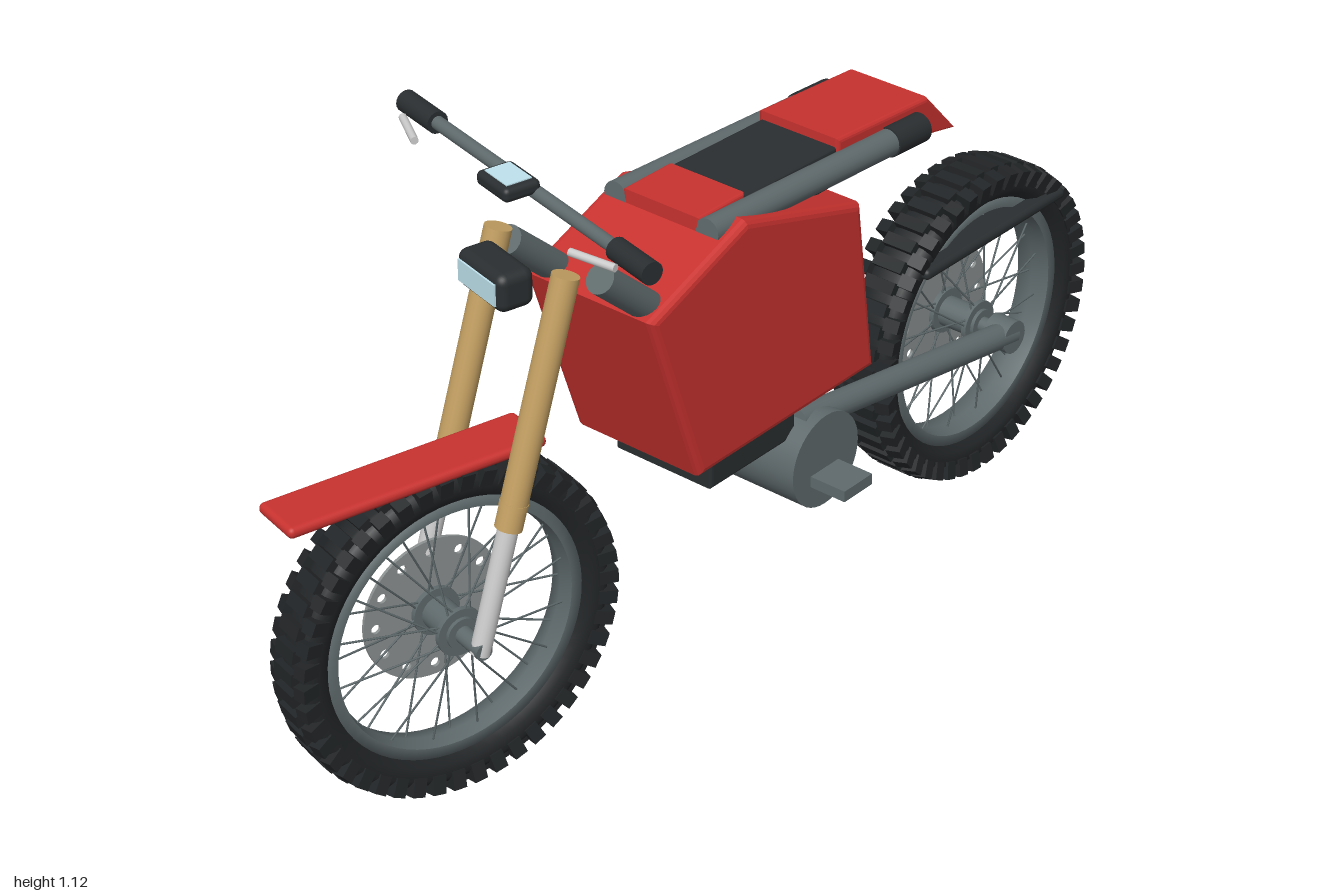
import * as THREE from 'three';
import { mergeGeometries } from 'three/addons/utils/BufferGeometryUtils.js';
import { RoundedBoxGeometry } from 'three/addons/geometries/RoundedBoxGeometry.js';

const mat = (color) => new THREE.MeshStandardMaterial({ color });
const RED = mat(0xc8322f), GOLD = mat(0xc4a062), BLACK = mat(0x2a2e30), TYRE = mat(0x222527);
const GREY = mat(0x5f6a6c), SILVER = mat(0xcccccc), DISC = mat(0x8a8f8f), GLASS = mat(0xbfe3ee);
const V = (x, y, z) => new THREE.Vector3(x, y, z);

function add(parent, name, geometry, material, x = 0, y = 0, z = 0) {
  const mesh = new THREE.Mesh(geometry, material);
  mesh.name = name;
  mesh.position.set(x, y, z);
  parent.add(mesh);
  return mesh;
}

// Cylinder geometry between two points
function rod(a, b, r, sides = 20, r2 = r) {
  const d = b.clone().sub(a);
  const q = new THREE.Quaternion().setFromUnitVectors(V(0, 1, 0), d.clone().normalize());
  return new THREE.CylinderGeometry(r2, r, d.length(), sides)
    .applyQuaternion(q).translate(...a.clone().add(b).multiplyScalar(0.5).toArray());
}

// Side profile of [z, y] points extruded to a total width along x
function slab(points, width, bevel) {
  const shape = new THREE.Shape(points.map((p) => new THREE.Vector2(...p)));
  const depth = width - 2 * bevel;
  return new THREE.ExtrudeGeometry(shape, {
    depth, bevelThickness: bevel, bevelSize: bevel, bevelOffset: -bevel, bevelSegments: 3,
  }).translate(0, 0, -depth / 2).rotateY(-Math.PI / 2);
}

// Ring around the x axis from a closed [radius, x] section
function ring(section, segments = 64) {
  const pts = section.map((p) => new THREE.Vector2(...p));
  return new THREE.LatheGeometry([...pts, pts[0]], segments).rotateZ(Math.PI / 2);
}

function makeWheel(name, half) {
  const wheel = new THREE.Group();
  wheel.name = name;
  const R = 0.318;

  // Tyre carcass and its staggered tread blocks
  add(wheel, 'tyre', ring([
    [0.245, -half * 0.5], [0.262, -half * 0.82], [0.285, -half * 0.9], [0.3, -half * 0.7], [0.306, -half * 0.3],
    [0.306, half * 0.3], [0.3, half * 0.7], [0.285, half * 0.9], [0.262, half * 0.82], [0.245, half * 0.5],
  ]), TYRE);
  const blocks = [];
  const rows = 46;
  for (let i = 0; i < rows; i++) {
    const a = (i / rows) * Math.PI * 2, step = Math.PI / rows;
    blocks.push(new THREE.BoxGeometry(half * 1.1, 0.026, 0.024).translate(0, R - 0.013, 0).rotateX(a));
    for (const s of [-1, 1]) {
      blocks.push(new THREE.BoxGeometry(half * 0.5, 0.034, 0.025).rotateZ(-s * 0.25)
        .translate(s * half * 0.78, R - 0.022, 0).rotateX(a + step));
    }
  }
  add(wheel, 'treadBlocks', mergeGeometries(blocks), TYRE);

  // Rim, hub and axle
  const w = half * 0.6;
  add(wheel, 'rim', ring([[0.23, -w], [0.252, -w], [0.252, w], [0.23, w], [0.225, 0]]), GREY);
  add(wheel, 'hub', rod(V(-0.05, 0, 0), V(0.05, 0, 0), 0.03), GREY);
  for (const s of [-1, 1]) {
    add(wheel, 'hubFlange', rod(V(s * 0.033, 0, 0), V(s * 0.043, 0, 0), 0.045, 28), GREY);
  }
  add(wheel, 'axle', rod(V(-0.115, 0, 0), V(0.115, 0, 0), 0.016), GREY);

  // Crossed spokes
  const spokes = [];
  const count = 32;
  for (let i = 0; i < count; i++) {
    const a = (i / count) * Math.PI * 2, s = i % 2 ? 1 : -1;
    const b = a + (i % 4 < 2 ? 0.35 : -0.35);
    spokes.push(rod(V(s * 0.038, 0.04 * Math.cos(b), 0.04 * Math.sin(b)),
      V(s * 0.008, 0.232 * Math.cos(a), 0.232 * Math.sin(a)), 0.002, 5));
  }
  add(wheel, 'spokes', mergeGeometries(spokes), GREY);

  // Drilled brake disc on one side
  const disc = new THREE.Shape().absarc(0, 0, 0.135, 0, Math.PI * 2);
  for (let i = 0; i < 12; i++) {
    const a = (i / 12) * Math.PI * 2;
    disc.holes.push(new THREE.Path().absarc(0.112 * Math.cos(a), 0.112 * Math.sin(a), 0.009, 0, Math.PI * 2, true));
  }
  add(wheel, 'brakeDisc', new THREE.ExtrudeGeometry(disc, { depth: 0.006, bevelEnabled: false, curveSegments: 32 })
    .translate(0, 0, -0.003).rotateY(Math.PI / 2), DISC, -0.05);
  return wheel;
}

// Fork, front wheel, front fender and handlebar, turned together
function makeSteering() {
  const g = new THREE.Group();
  g.name = 'steering';
  g.position.set(0, 0, 0.51);
  g.rotation.y = -0.25;

  const wheel = makeWheel('frontWheel', 0.05);
  wheel.position.set(0, 0.325, 0.178);
  g.add(wheel);

  for (const s of [-1, 1]) {
    const top = V(s * 0.1, 0.975, -0.01), bottom = V(s * 0.1, 0.315, 0.178);
    const at = (t) => top.clone().lerp(bottom, t);
    add(g, 'forkUpper', rod(top, at(0.66), 0.024), GOLD);
    add(g, 'forkCollar', rod(at(0.59), at(0.605), 0.025), GOLD);
    add(g, 'forkLower', rod(at(0.64), bottom, 0.018), SILVER);
    add(g, 'grip', rod(V(s * 0.262, 1.1, 0), V(s * 0.36, 1.1, 0), 0.02), BLACK);
    add(g, 'lever', rod(V(s * 0.313, 1.1, 0.036), V(s * 0.229, 1.1, 0.065), 0.007, 12), SILVER);
  }
  add(g, 'handlebar', rod(V(-0.35, 1.1, 0), V(0.35, 1.1, 0), 0.012), GREY);

  // Dash on the bar and lamp between the fork legs
  add(g, 'dash', new RoundedBoxGeometry(0.09, 0.026, 0.07, 3, 0.01), BLACK, 0, 1.113, 0.03);
  add(g, 'dashScreen', new THREE.BoxGeometry(0.065, 0.004, 0.048), GLASS, 0, 1.126, 0.03);
  add(g, 'headlamp', new RoundedBoxGeometry(0.135, 0.07, 0.07, 4, 0.018), BLACK, 0, 0.95, 0.06);
  add(g, 'headlampLens', new THREE.BoxGeometry(0.108, 0.04, 0.006), GLASS, 0, 0.95, 0.095);

  add(g, 'frontFender', new RoundedBoxGeometry(0.105, 0.021, 0.49, 3, 0.01), RED, 0, 0.641, 0.247);
  return g;
}

export function createModel() {
  const model = new THREE.Group();
  model.name = 'dirtBike';
  model.add(makeSteering());

  const rear = makeWheel('rearWheel', 0.06);
  rear.position.set(0, 0.325, -0.685);
  model.add(rear);
  add(model, 'rearMudguard', new RoundedBoxGeometry(0.135, 0.022, 0.43, 3, 0.01), BLACK, 0, 0.52, -0.7);

  // Main body shell
  add(model, 'body', slab([[0.372, 0.83], [0.126, 0.922], [-0.183, 0.828], [-0.228, 0.48], [0.25, 0.475]], 0.285, 0.014),
    RED, 0.004);

  // Tank cover, seat and tail
  add(model, 'tankCover', slab([[0.18, 0.86], [0.18, 0.928], [0.06, 0.928], [0.06, 0.86]], 0.17, 0.006), RED);
  add(model, 'seat', slab([[0.06, 0.84], [0.06, 0.922], [-0.19, 0.915], [-0.19, 0.84]], 0.17, 0.006), BLACK);
  add(model, 'tail', slab([[-0.185, 0.865], [-0.185, 0.932], [-0.44, 0.915], [-0.525, 0.822], [-0.4, 0.846]], 0.18, 0.008), RED);

  // Mirrored frame tubes
  for (const s of [-1, 1]) {
    add(model, 'neckTube', rod(V(s * 0.102, 0.935, 0.447), V(s * 0.102, 0.78, 0.27), 0.027), GREY);
    add(model, 'subframeTube', rod(V(s * 0.102, 0.908, 0.18), V(s * 0.102, 0.878, -0.37), 0.025), GREY);
    add(model, 'subframeEnd', rod(V(s * 0.102, 0.881, -0.31), V(s * 0.102, 0.876, -0.4), 0.028), BLACK);
    add(model, 'swingarm', rod(V(s * 0.102, 0.322, -0.7), V(s * 0.102, 0.425, -0.06), 0.025), GREY);
    add(model, 'swingarmHub', rod(V(s * 0.075, 0.325, -0.685), V(s * 0.125, 0.325, -0.685), 0.033), GREY);
    add(model, 'footPeg', new THREE.BoxGeometry(0.1, 0.022, 0.078), GREY, s * 0.172, 0.32, -0.09);
  }

  // Motor, battery case and rear shock
  add(model, 'motor', rod(V(-0.145, 0.347, -0.093), V(0.145, 0.347, -0.093), 0.092, 40), GREY);
  add(model, 'batteryCase', slab([[0.18, 0.402], [0.18, 0.6], [-0.05, 0.6], [-0.05, 0.402]], 0.22, 0.006), BLACK);
  add(model, 'rearShock', rod(V(0, 0.41, -0.245), V(0, 0.64, -0.195), 0.024), GOLD);

  // Chain run of alternating links
  const links = [];
  for (let i = 0; i < 48; i++) {
    links.push(new THREE.BoxGeometry(i % 2 ? 0.012 : 0.007, 0.012, 0.011).translate(-0.139, 0.282, -0.1 - i * 0.0125));
  }
  add(model, 'chain', mergeGeometries(links), GREY);
  return model;
}
